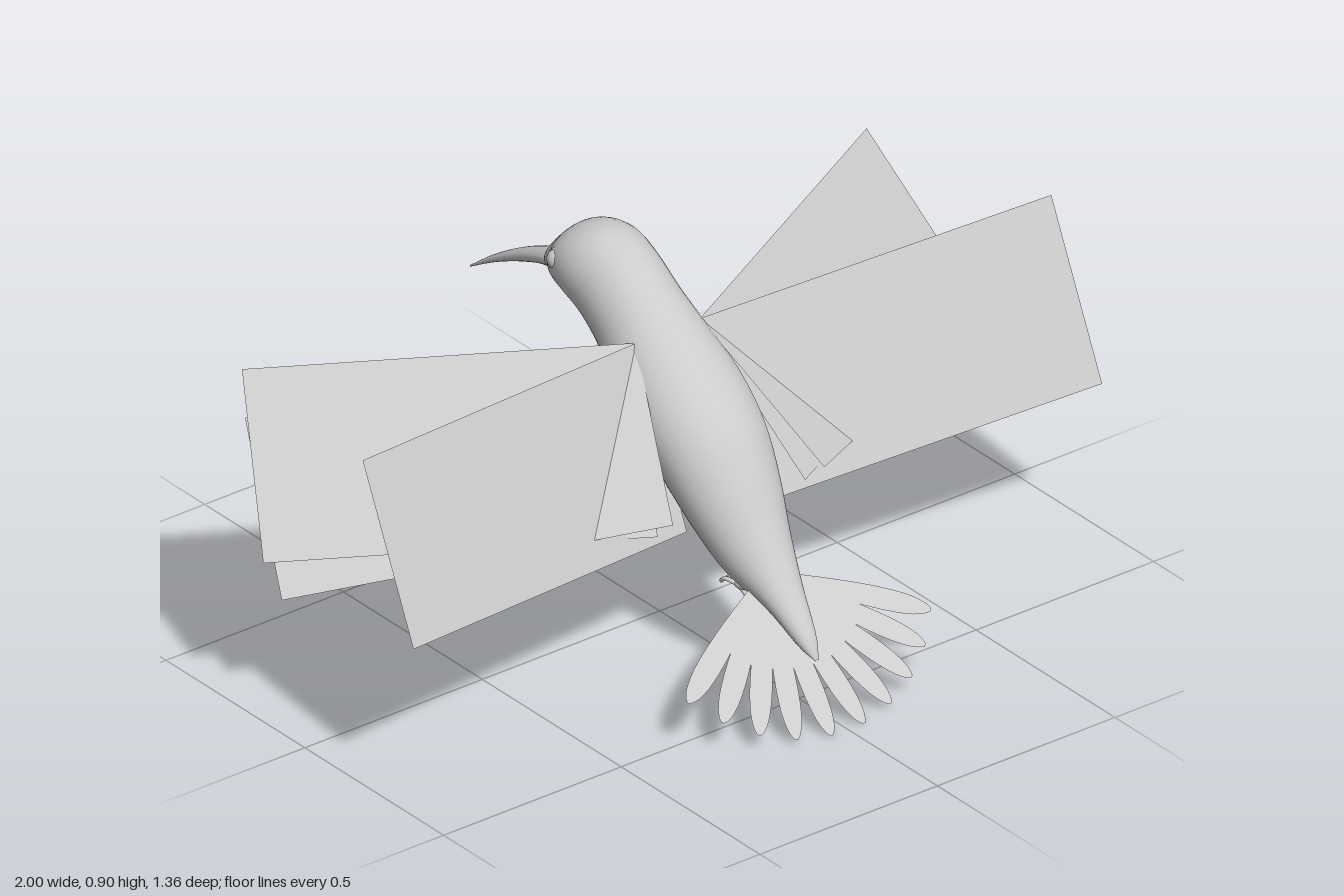
import * as THREE from 'three';

const grey = new THREE.MeshStandardMaterial({ color: 0xcccccc });
const thin = new THREE.MeshStandardMaterial({ color: 0xcccccc, side: THREE.DoubleSide });

function add(parent, name, geometry, material = grey) {
  const mesh = new THREE.Mesh(geometry, material);
  mesh.name = name;
  parent.add(mesh);
  return mesh;
}

// Smooth loft through elliptical sections: [dorsal z, dorsal y, ventral z, ventral y, half width]
function loft(sections, steps, sides) {
  const dorsal = new THREE.CatmullRomCurve3(sections.map(s => new THREE.Vector3(s[4], s[1], s[0])));
  const ventral = new THREE.CatmullRomCurve3(sections.map(s => new THREE.Vector3(s[4], s[3], s[2])));
  const pos = [], index = [];
  for (let i = 0; i <= steps; i++) {
    const d = dorsal.getPoint(i / steps), v = ventral.getPoint(i / steps);
    for (let j = 0; j < sides; j++) {
      const a = j / sides * Math.PI * 2, k = (1 - Math.cos(a)) / 2;
      pos.push(Math.max(d.x, 0) * Math.sin(a), d.y + (v.y - d.y) * k, d.z + (v.z - d.z) * k);
      if (i === steps) continue;
      const p = i * sides + j, q = i * sides + (j + 1) % sides;
      index.push(p, q, p + sides, q, q + sides, p + sides);
    }
  }
  const g = new THREE.BufferGeometry();
  g.setAttribute('position', new THREE.Float32BufferAttribute(pos, 3));
  g.setIndex(index);
  g.computeVertexNormals();
  return g;
}

// Flat parallelogram spanned from a root corner
function panel(root, along, across) {
  const g = new THREE.PlaneGeometry(1, 1);
  const p = g.attributes.position;
  for (let i = 0; i < 4; i++) {
    const u = p.getX(i) + 0.5, v = 0.5 - p.getY(i);
    p.setXYZ(i, ...root.map((r, k) => r + along[k] * u + across[k] * v));
  }
  g.computeVertexNormals();
  return g;
}

function tube(points, radius) {
  const curve = new THREE.CatmullRomCurve3(points.map(p => new THREE.Vector3(...p)));
  return new THREE.TubeGeometry(curve, 10, radius, 8);
}

export function createModel() {
  const bird = new THREE.Group();
  bird.name = 'hoveringBird';

  // Body and head in one smooth skin
  add(bird, 'body', loft([
    [0.567, 0.13, 0.567, 0.125, 0.004],
    [0.545, 0.175, 0.53, 0.14, 0.022],
    [0.47, 0.275, 0.43, 0.2, 0.05],
    [0.4, 0.38, 0.31, 0.24, 0.085],
    [0.34, 0.485, 0.21, 0.32, 0.115],
    [0.27, 0.59, 0.115, 0.41, 0.135],
    [0.18, 0.675, 0.02, 0.49, 0.14],
    [0.08, 0.75, -0.07, 0.57, 0.125],
    [-0.01, 0.815, -0.14, 0.63, 0.11],
    [-0.1, 0.875, -0.2, 0.675, 0.107],
    [-0.18, 0.9, -0.25, 0.7, 0.108],
    [-0.26, 0.885, -0.295, 0.715, 0.095],
    [-0.32, 0.835, -0.33, 0.72, 0.065],
    [-0.37, 0.78, -0.37, 0.72, 0.036],
    [-0.39, 0.755, -0.38, 0.725, 0.01],
  ], 70, 32));

  // Long down-curved bill
  add(bird, 'beak', loft([
    [-0.33, 0.775, -0.33, 0.715, 0.045],
    [-0.39, 0.757, -0.375, 0.716, 0.033],
    [-0.487, 0.713, -0.49, 0.676, 0.02],
    [-0.59, 0.65, -0.597, 0.625, 0.012],
    [-0.68, 0.582, -0.68, 0.577, 0.003],
  ], 24, 16));

  // Three flat wing panels per side, fanned from one shoulder: [leading edge, chord]
  const panels = [
    [[0.88, 0.07, 0.14], [0, -0.4, 0.183]],
    [[0.79, 0.026, -0.41], [0.118, -0.352, 0.228]],
    [[0.75, -0.13, -0.45], [0.123, -0.293, 0.29]],
  ];
  for (const s of [1, -1]) {
    const side = s > 0 ? 'left' : 'right';
    const flip = v => [v[0] * s, v[1], v[2]];
    panels.forEach(([along, across], i) =>
      add(bird, `${side}Wing${i + 1}`, panel(flip([0.09, 0.73, 0.03]), flip(along), flip(across)), thin));

    // Eye with its rim
    const eye = add(bird, `${side}Eye`, new THREE.SphereGeometry(0.024, 20, 14));
    eye.position.set(s * 0.082, 0.81, -0.265);
    const rim = add(bird, `${side}EyeRim`, new THREE.TorusGeometry(0.023, 0.005, 8, 24));
    rim.position.set(s * 0.085, 0.81, -0.265);
    rim.rotation.y = s * (Math.PI / 2 + 0.3);

    // Tucked leg and curled toes
    const foot = new THREE.Group();
    foot.name = `${side}Foot`;
    bird.add(foot);
    add(foot, 'leg', tube([[s * 0.04, 0.27, 0.36], [s * 0.04, 0.24, 0.36], [s * 0.04, 0.232, 0.33]], 0.008));
    for (const t of [-1, 0, 1]) {
      const x = s * 0.04 + t * 0.014;
      add(foot, 'toe', tube([[s * 0.04, 0.232, 0.33], [x, 0.24, 0.305], [x, 0.228, 0.29]], 0.005));
    }
    add(foot, 'hindToe', tube([[s * 0.04, 0.232, 0.33], [s * 0.04, 0.225, 0.35], [s * 0.04, 0.215, 0.37]], 0.005));
  }

  // Fan of ten narrow tail feathers in one sloping plane
  const tail = new THREE.Group();
  tail.name = 'tail';
  tail.position.set(0, 0.27, 0.38);
  tail.rotation.x = -0.838;
  bird.add(tail);
  const leaf = new THREE.Shape();
  leaf.moveTo(0.006, 0);
  leaf.bezierCurveTo(0.016, -0.12, 0.05, -0.36, 0.004, -0.403);
  leaf.lineTo(-0.004, -0.403);
  leaf.bezierCurveTo(-0.05, -0.36, -0.016, -0.12, -0.006, 0);
  const feather = new THREE.ShapeGeometry(leaf, 16);
  for (let i = 0; i < 10; i++) {
    add(tail, 'tailFeather', feather, thin).rotation.z = (i - 4.5) * 0.225;
  }

  return bird;
}
